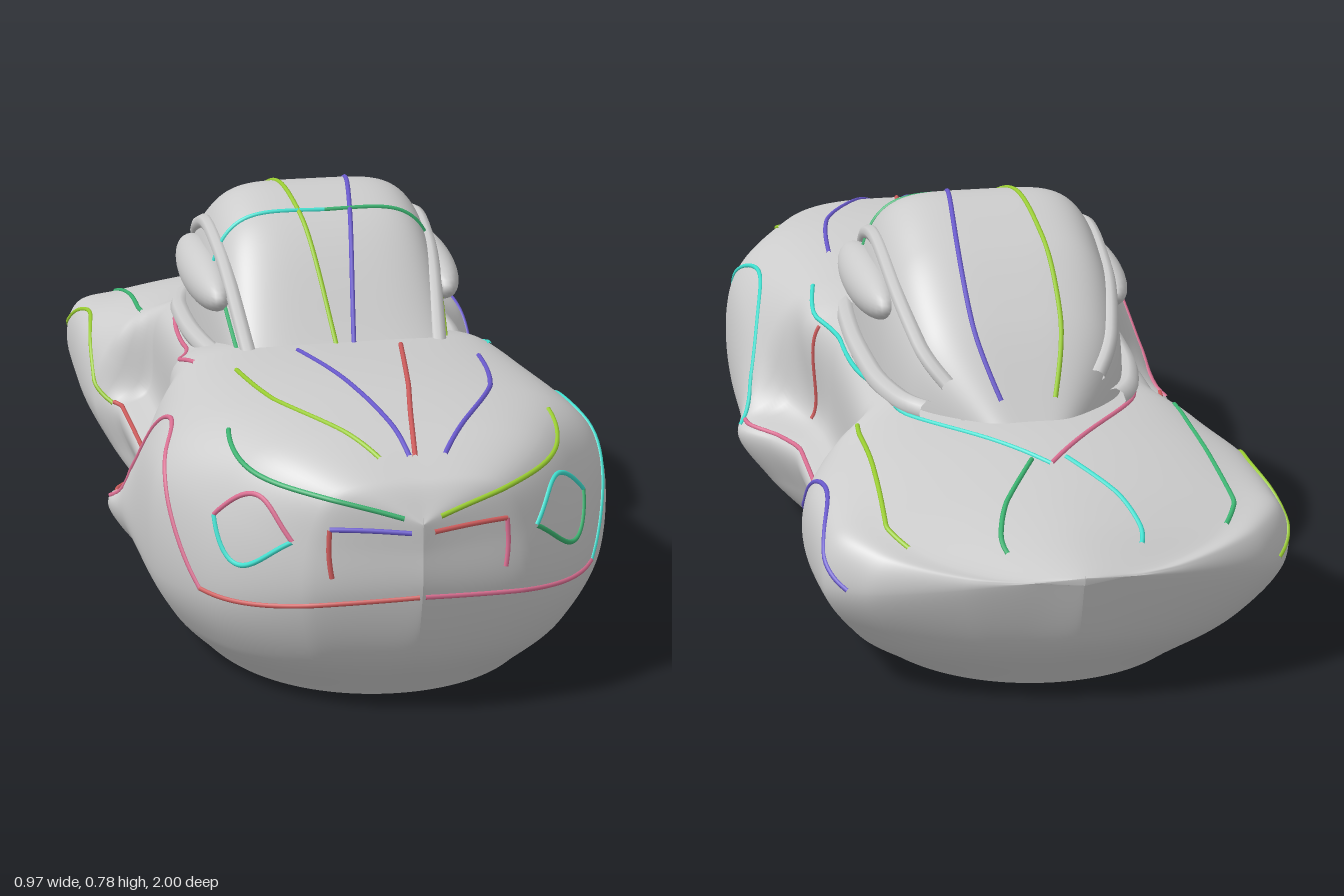
import * as THREE from 'three';

// Body stations: z, belt half width, flank half width, flank height, roofline height
const BODY = [
  [-1, 0, 0, 0.265, 0.275],
  [-0.96, 0.21, 0.2, 0.275, 0.295],
  [-0.88, 0.39, 0.365, 0.3, 0.345],
  [-0.78, 0.455, 0.435, 0.32, 0.39],
  [-0.6, 0.455, 0.44, 0.33, 0.43],
  [-0.42, 0.44, 0.41, 0.31, 0.445],
  [-0.36, 0.39, 0.325, 0.24, 0.46],
  [0, 0.385, 0.32, 0.24, 0.49],
  [0.1, 0.42, 0.33, 0.24, 0.5],
  [0.2, 0.485, 0.37, 0.26, 0.52],
  [0.27, 0.468, 0.42, 0.34, 0.53],
  [0.6, 0.45, 0.435, 0.42, 0.555],
  [0.8, 0.37, 0.355, 0.39, 0.54],
  [0.95, 0.21, 0.2, 0.37, 0.48],
  [1, 0, 0, 0.36, 0.41],
];
// Cabin stations: z, half width, roof height
const CABIN = [
  [-0.57, 0.07, 0.41], [-0.4, 0.22, 0.61], [-0.25, 0.25, 0.725],
  [-0.08, 0.255, 0.78], [0.05, 0.25, 0.745], [0.29, 0.22, 0.5],
];
const { lerp, clamp } = THREE.MathUtils;

// Smooth interpolation of a station table without overshoot
function station(table, z) {
  let k = 0;
  while (k < table.length - 2 && z > table[k + 1][0]) k++;
  const slope = (i, c) => (table[i + 1][c] - table[i][c]) / (table[i + 1][0] - table[i][0]);
  const tangent = (i, c) => {
    if (i === 0) return slope(0, c);
    if (i === table.length - 1) return slope(i - 1, c);
    const a = slope(i - 1, c), b = slope(i, c);
    return a * b <= 0 ? 0 : (2 * a * b) / (a + b);
  };
  const h = table[k + 1][0] - table[k][0];
  const t = clamp((z - table[k][0]) / h, 0, 1);
  const ease = t * t * (3 - 2 * t);
  return table[k].map((v, c) => lerp(v, table[k + 1][c], ease)
    + t * (1 - t) * h * ((1 - t) * tangent(k, c) - t * tangent(k + 1, c)));
}

// Cross-section curve from the right rim over the top to the left rim
function section(z) {
  const [, belt, flank, flankY, top] = station(BODY, z);
  const beltY = 0.2 + 0.08 * z ** 8;
  const shoulder = Math.min(0.74 * belt, 0.33);
  // Bottom opening: a long oval with a slight waist
  const rim = 0.36 * Math.sqrt(Math.max(0, 1 - z ** 4)) * (1 - 0.2 * Math.exp(-(((z + 0.1) / 0.3) ** 2)));
  const rimZ = 0.83 * z;
  const half = [
    [rim, 0, rimZ],
    [lerp(rim, belt, 0.58), 0.45 * beltY, lerp(rimZ, z, 0.7)],
    [belt, beltY, z],
    [flank, flankY, z],
    [shoulder, top - 0.12 * shoulder, z],
  ];
  const right = half.map(([x, y, d]) => new THREE.Vector3(-x, y, d));
  const left = half.map(([x, y, d]) => new THREE.Vector3(x, y, d)).reverse();
  return new THREE.CatmullRomCurve3([...right, new THREE.Vector3(0, top, z), ...left], false, 'centripetal');
}
// s: 0 top, 0.2 shoulder, 0.4 flank, 0.6 belt, 1 rim; the sign picks the side
const bodyPoint = (z, s) => section(z).getPoint((s + 1) / 2);

// s runs from -1 (right base) to 1 (left base); the base sits just inside the body
function cabinPoint(z, s) {
  const [, w, top] = station(CABIN, z);
  const base = station(BODY, z)[4] - 0.075;
  const u = Math.sin(s * Math.PI / 2);
  const rise = Math.cbrt(Math.max(0, 1 - Math.abs(u) ** 5));
  return new THREE.Vector3(w * u, lerp(base, top, rise), z);
}

// Grid surface from rows of points, with an optional hole test
function skin(rows, hole = () => false) {
  const n = rows[0].length, index = [];
  for (let i = 0; i < rows.length - 1; i++) {
    for (let j = 0; j < n - 1; j++) {
      const a = i * n + j, c = a + n;
      if (!hole(rows[i][j]) || !hole(rows[i + 1][j + 1])) index.push(a, c, a + 1, c, c + 1, a + 1);
    }
  }
  const geo = new THREE.BufferGeometry().setFromPoints(rows.flat());
  geo.setIndex(index);
  geo.computeVertexNormals();
  return geo;
}

// Tube along a rule that gives a point for t from 0 to 1
function tubeAlong(pointAt, radius) {
  const pts = Array.from({ length: 25 }, (_, i) => pointAt(i / 24));
  return new THREE.TubeGeometry(new THREE.CatmullRomCurve3(pts), 48, radius, 8);
}

// Panel lines: name, surface, z from, z to, s from, s to, sag of s at the middle
const LINES = [
  ['FrontArchLine', bodyPoint, 0.2, 0.78, 0.58, 0.58, -0.28],
  ['BumperLine', bodyPoint, 0.78, 0.999, 0.58, 0.62, 0],
  ['HoodCentreLine', bodyPoint, 0.31, 0.9, 0.06, 0.005, 0],
  ['HoodOuterLine', bodyPoint, 0.4, 0.9, 0.14, 0.055, 0.02],
  ['NoseLine', bodyPoint, 0.7, 0.99, 0.2, 0.2, 0.06],
  ['HeadlightLowerLine', bodyPoint, 0.8, 0.93, 0.41, 0.41, 0.09],
  ['HeadlightUpperLine', bodyPoint, 0.8, 0.93, 0.41, 0.41, -0.1],
  ['GrilleSideLine', bodyPoint, 0.96, 0.965, 0.34, 0.52, 0],
  ['GrilleTopLine', bodyPoint, 0.96, 0.995, 0.34, 0.3, 0],
  ['RearArchLine', bodyPoint, -0.85, -0.38, 0.58, 0.58, -0.23],
  ['RearFenderLine', bodyPoint, -0.87, -0.42, 0.22, 0.2, -0.01],
  ['DeckLine', bodyPoint, -0.92, -0.7, 0.1, 0.02, 0],
  ['WaistLine', bodyPoint, -0.72, 0.25, 0, 0.18, 0.1],
  ['SillLine', bodyPoint, -0.38, 0.21, 0.57, 0.55, 0],
  ['DoorLine', bodyPoint, 0.12, 0.1, 0.4, 0.21, 0],
  ['RoofLine', cabinPoint, -0.52, 0.27, 0.3, 0.05, 0.02],
  ['PillarLine', cabinPoint, 0.06, 0.26, 0.76, 0.82, 0],
  ['HeaderLine', cabinPoint, 0.04, 0.03, 0, 0.75, 0],
];
const COLORS = ['turquoise', 'palevioletred', 'indianred', 'slateblue', 'yellowgreen', 'mediumseagreen'];

export function createModel() {
  const model = new THREE.Group();
  const grey = new THREE.MeshStandardMaterial({ color: 0xcccccc, side: THREE.DoubleSide });
  const add = (name, geo, mat = grey) => {
    const mesh = new THREE.Mesh(geo, mat);
    mesh.name = name;
    model.add(mesh);
    return mesh;
  };

  // Body shell, open below and cut out under the cabin
  const bodyRows = Array.from({ length: 171 }, (_, i) =>
    section(Math.sin((i / 85 - 1) * Math.PI / 2)).getPoints(160));
  const underCabin = (p) => p.y > 0.3 && p.z > -0.52 && p.z < 0.25
    && Math.abs(p.x) < 0.95 * station(CABIN, p.z)[1];
  add('bodyShell', skin(bodyRows, underCabin));

  // Cabin dome
  const cabinRows = Array.from({ length: 81 }, (_, i) =>
    Array.from({ length: 81 }, (_, j) => cabinPoint(lerp(-0.57, 0.29, i / 80), j / 40 - 1)));
  add('cabin', skin(cabinRows));

  for (const [side, label] of [[1, 'left'], [-1, 'right']]) {
    // Bulged side window, arched frame set into the cabin skin, and a belt lip
    const pane = add(label + 'SideWindow', new THREE.SphereGeometry(1, 32, 20));
    pane.scale.set(0.05, 0.055, 0.23);
    pane.position.set(side * 0.24, 0.6, -0.06);
    add(label + 'WindowFrame', tubeAlong((t) => cabinPoint(lerp(0.26, -0.47, t), side * 0.69), 0.016));
    add(label + 'BeltLip', tubeAlong((t) => {
      const z = lerp(0.26, -0.46, t);
      return new THREE.Vector3(side * (station(CABIN, z)[1] + 0.012), lerp(0.49, 0.44, t), z);
    }, 0.022));

    // Coloured panel lines lying on the skin
    LINES.forEach(([name, surface, z0, z1, s0, s1, sag], i) => {
      const pointAt = (t) => surface(lerp(z0, z1, t), side * (lerp(s0, s1, t) + sag * Math.sin(t * Math.PI)));
      const color = COLORS[(i + (side > 0 ? 0 : 1)) % COLORS.length];
      add(label + name, tubeAlong(pointAt, 0.005), new THREE.MeshStandardMaterial({ color }));
    });
  }
  return model;
}
